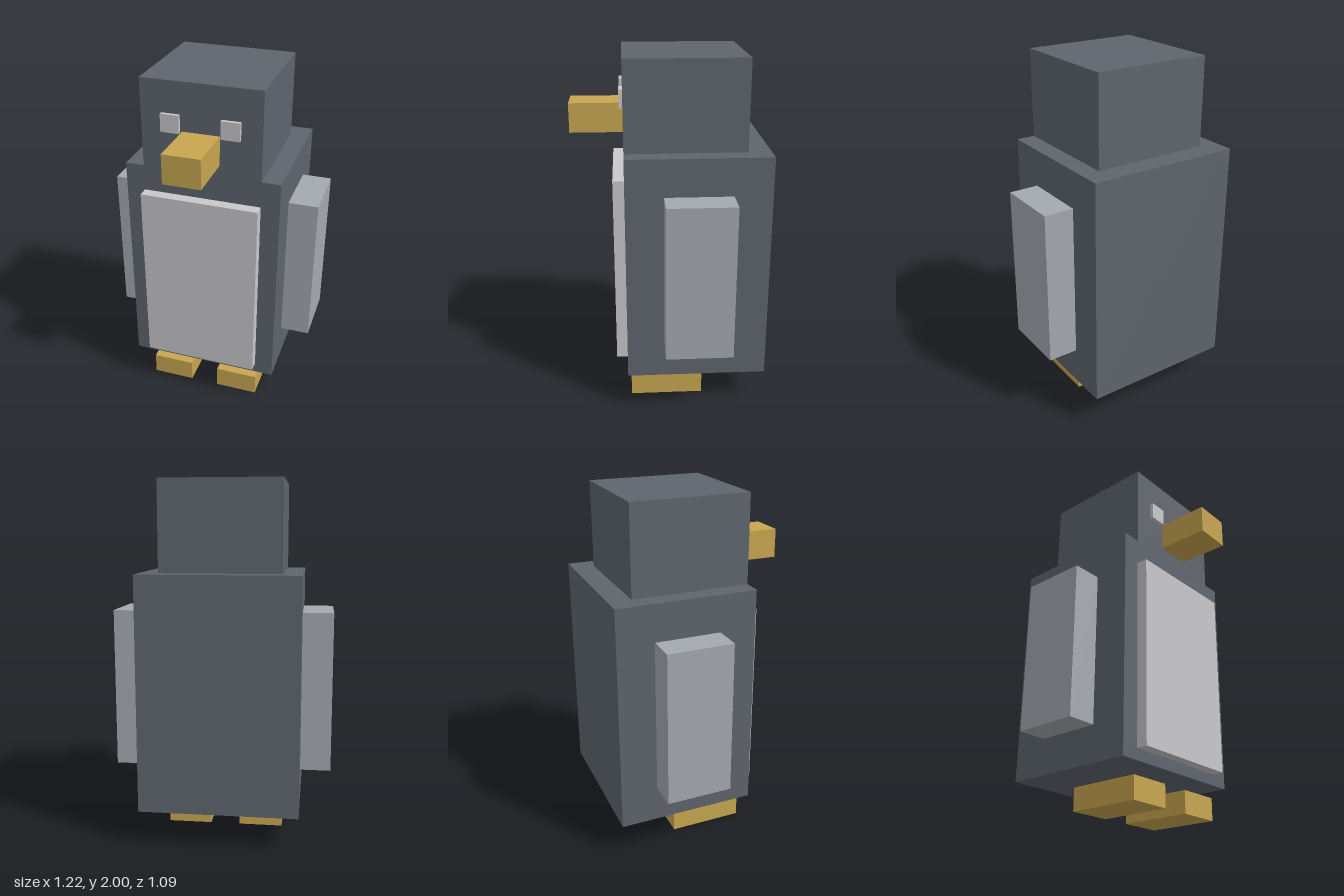
import * as THREE from 'three';

const material = (name, color) => {
  const m = new THREE.MeshStandardMaterial({ color });
  m.name = name;
  return m;
};

export function createModel() {
  const slate = material('slate', 0x5e656d);
  const white = material('white', 0xc8c7c9);
  const grey = material('grey', 0xa4a8b0);
  const gold = material('gold', 0xc8a650);

  const model = new THREE.Group();
  model.name = 'penguin';

  // Adds a box spanning the given [min, max] ranges
  const box = (name, mat, [x0, x1], [y0, y1], [z0, z1]) => {
    const mesh = new THREE.Mesh(new THREE.BoxGeometry(x1 - x0, y1 - y0, z1 - z0), mat);
    mesh.position.set((x0 + x1) / 2, (y0 + y1) / 2, (z0 + z1) / 2);
    mesh.name = name;
    model.add(mesh);
  };

  // Adds a box on the left (+x) and its mirror on the right
  const pair = (name, mat, [x0, x1], y, z) => {
    box(`left${name}`, mat, [x0, x1], y, z);
    box(`right${name}`, mat, [-x1, -x0], y, z);
  };

  // Torso and head
  box('body', slate, [-0.441, 0.441], [0.195, 1.5], [-0.547, 0.25]);
  box('head', slate, [-0.335, 0.335], [1.5, 2], [-0.42, 0.25]);
  box('belly', white, [-0.335, 0.335], [0.26, 1.35], [0.25, 0.313]);

  // Face
  box('beak', gold, [-0.104, 0.104], [1.563, 1.728], [0.25, 0.547]);
  pair('Eye', white, [0.115, 0.219], [1.72, 1.822], [0.25, 0.27]);

  // Flippers and feet
  pair('Flipper', grey, [0.441, 0.61], [0.402, 1.288], [-0.336, 0.04]);
  pair('Foot', gold, [0.085, 0.335], [0, 0.128], [-0.19, 0.23]);

  return model;
}
